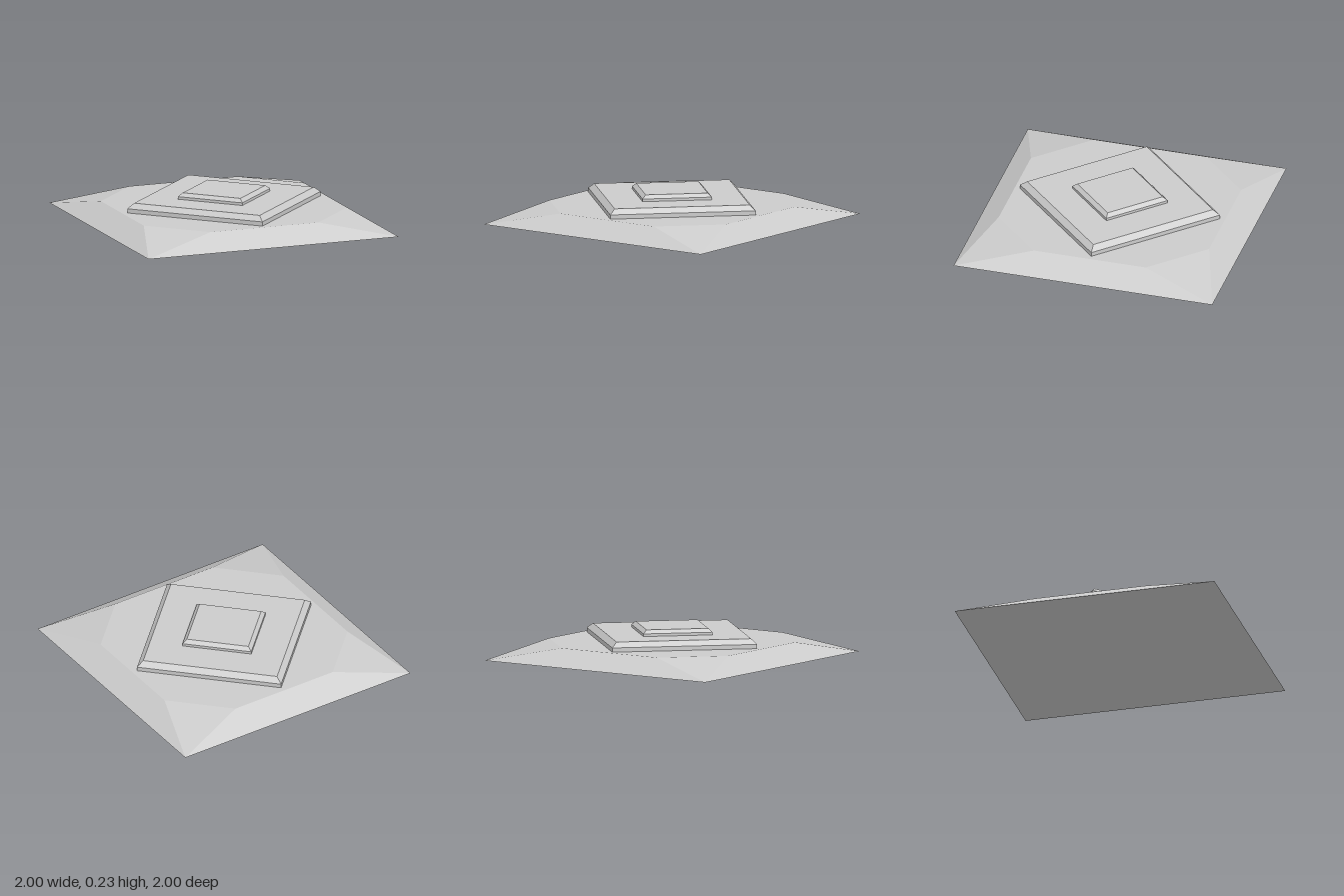
import * as THREE from 'three';
import { ConvexGeometry } from 'three/addons/geometries/ConvexGeometry.js';

const material = new THREE.MeshStandardMaterial({ color: 0xcccccc, flatShading: true });

function addPart(group, name, geometry) {
  const mesh = new THREE.Mesh(geometry, material);
  mesh.name = name;
  group.add(mesh);
}

// Square foot whose sides and cut corners slope up to an octagonal deck
function baseGeometry(half, height, topHalf, topShort) {
  const points = [];
  for (const sx of [-1, 1]) {
    for (const sz of [-1, 1]) {
      points.push(
        new THREE.Vector3(sx * half, 0, sz * half),
        new THREE.Vector3(sx * topHalf, height, sz * topShort),
        new THREE.Vector3(sx * topShort, height, sz * topHalf),
      );
    }
  }
  return new ConvexGeometry(points);
}

// Diamond slab with a vertical edge, a bevel and a flat top
function slabGeometry(radius, topRadius, bottom, shoulder, top) {
  const profile = [[0, bottom], [radius, bottom], [radius, shoulder], [topRadius, top], [0, top]];
  const points = profile.map(([r, y]) => new THREE.Vector2(r, y));
  const geometry = new THREE.LatheGeometry(points, 4).toNonIndexed();
  geometry.computeVertexNormals();
  return geometry;
}

export function createModel() {
  const group = new THREE.Group();
  group.name = 'steppedPlinth';
  addPart(group, 'base', baseGeometry(1, 0.118, 0.813, 0.432));
  addPart(group, 'lowerSlab', slabGeometry(0.773, 0.718, 0.118, 0.15, 0.188));
  addPart(group, 'upperSlab', slabGeometry(0.369, 0.33, 0.188, 0.208, 0.234));
  return group;
}
